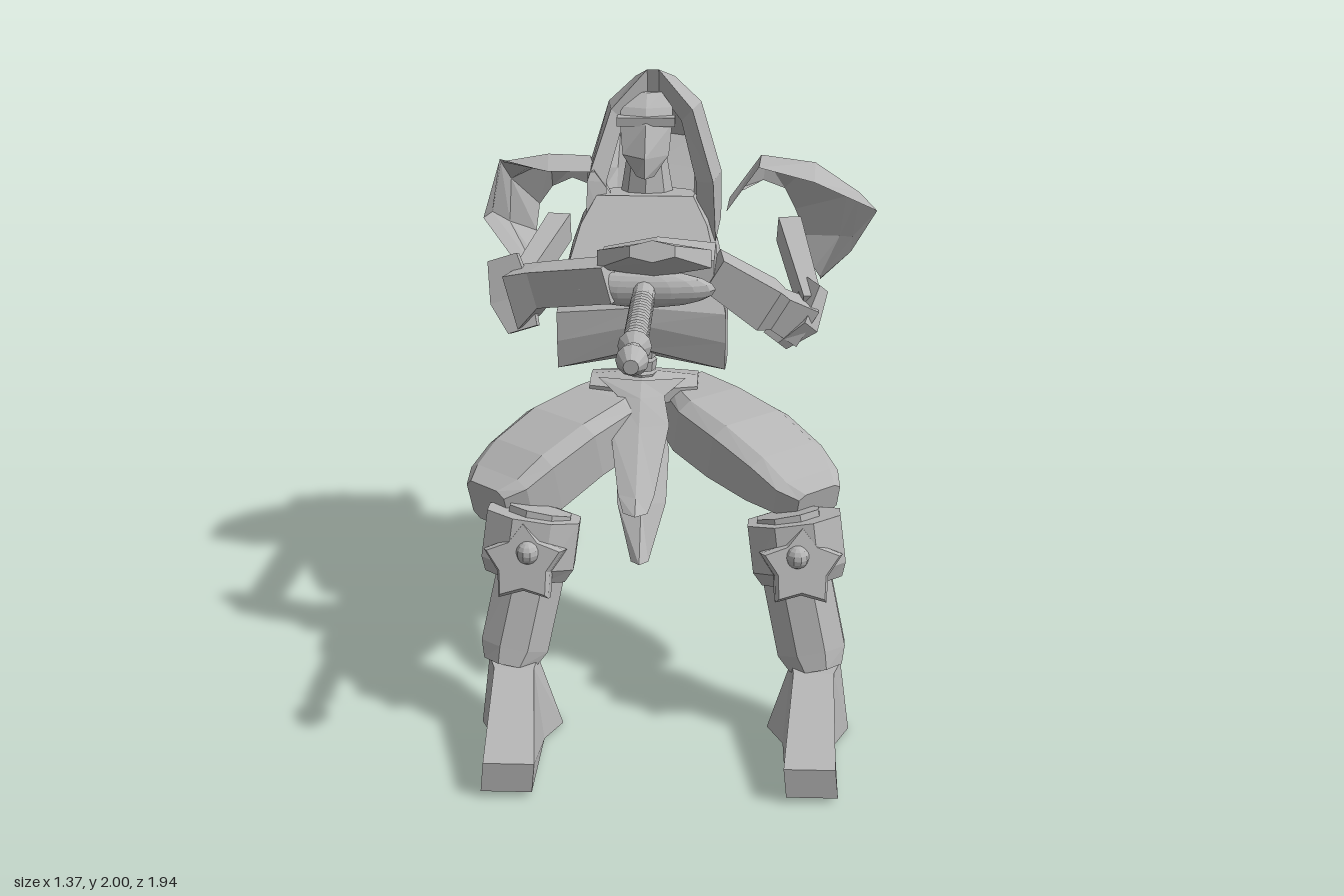
import * as THREE from 'three';

const grey = new THREE.MeshStandardMaterial({ color: 0xb6b6b6, flatShading: true, side: THREE.DoubleSide });
grey.name = 'plain grey';

function addMesh(parent, name, geometry) {
  const m = new THREE.Mesh(geometry, grey);
  m.name = name;
  parent.add(m);
  return m;
}

// Skin a list of cross-sections; closed sections wrap round, caps fan from the centre.
function loft(rings, { closed = true, capStart = true, capEnd = true } = {}) {
  const pos = [], n = rings[0].length, last = closed ? n : n - 1;
  const tri = (a, b, c) => pos.push(...a, ...b, ...c);
  for (let i = 0; i < rings.length - 1; i++) {
    for (let j = 0; j < last; j++) {
      const k = (j + 1) % n, A = rings[i], B = rings[i + 1];
      tri(A[j], A[k], B[k]);
      tri(A[j], B[k], B[j]);
    }
  }
  const cap = (r, flip) => {
    const c = [0, 1, 2].map(a => r.reduce((s, p) => s + p[a], 0) / n);
    for (let j = 0; j < n; j++) {
      const k = (j + 1) % n;
      flip ? tri(r[k], r[j], c) : tri(r[j], r[k], c);
    }
  };
  if (capStart) cap(rings[0], true);
  if (capEnd) cap(rings[rings.length - 1], false);
  const g = new THREE.BufferGeometry();
  g.setAttribute('position', new THREE.Float32BufferAttribute(pos, 3));
  g.computeVertexNormals();
  return g;
}
const sheet = { closed: false, capStart: false, capEnd: false };

// Limb through points [x, y, z, halfWidth, halfHeight]; power below 1 makes sections boxier.
function limb(points, sides = 4, power = 1) {
  const v = points.map(p => new THREE.Vector3(p[0], p[1], p[2]));
  const dir = v[v.length - 1].clone().sub(v[0]).normalize();
  const up0 = Math.abs(dir.y) > 0.8 ? new THREE.Vector3(0, 0, 1) : new THREE.Vector3(0, 1, 0);
  const u = new THREE.Vector3().crossVectors(up0, dir).normalize();
  const w = new THREE.Vector3().crossVectors(dir, u);
  const round = t => Math.sign(t) * (Math.abs(t) / Math.cos(Math.PI / sides)) ** power;
  return loft(points.map((p, i) => Array.from({ length: sides }, (_, j) => {
    const a = (j + 0.5) / sides * Math.PI * 2;
    return v[i].clone().addScaledVector(u, round(Math.cos(a)) * p[3])
      .addScaledVector(w, round(Math.sin(a)) * p[4]).toArray();
  })));
}

function buildTorso(g) {
  const outline = [[-0.98, 1], [0, 1], [0.98, 1], [1, 0.2], [0.9, -0.6], [0.5, -1], [-0.5, -1], [-0.9, -0.6], [-1, 0.2]];
  // front y, front z, back y, back z, half width, centre arch
  const rows = [
    [1.07, -0.08, 1.03, -0.46, 0.29, 0.07], [1.17, -0.065, 1.08, -0.56, 0.29, 0.06],
    [1.27, -0.07, 1.31, -0.75, 0.29, 0.02], [1.41, -0.17, 1.45, -0.74, 0.255, 0],
    [1.52, -0.28, 1.52, -0.66, 0.22, 0], [1.6, -0.36, 1.58, -0.56, 0.17, 0]];
  addMesh(g, 'breastplate', loft(rows.map(([yf, zf, yb, zb, hw, arch]) => outline.map(([x, t], i) => {
    const f = (t + 1) / 2;
    return [-0.12 + x * hw, yb + (yf - yb) * f + (i === 1 ? arch : 0), zb + (zf - zb) * f];
  }))));
  for (let i = 0; i < 4; i++) {
    const s = addMesh(g, 'waistSegment', new THREE.CylinderGeometry(0.05, 0.045, 0.035, 8));
    s.position.set(-0.12, 0.97 + i * 0.045, -0.16);
  }
  addMesh(g, 'hips', limb([[-0.3, 0.985, -0.18, 0.08, 0.025], [-0.12, 0.97, -0.16, 0.12, 0.06], [0.07, 0.985, -0.18, 0.08, 0.025]], 6));
}

function buildHood(g) {
  const arch = half => {
    const ring = [...half.map(([x, y, z]) => [-x, y, z]), ...half.slice().reverse()];
    return ring.map(([x, y, z]) => [x - 0.1, y, z]);
  };
  const front = arch([[0.225, 1.45, -0.33], [0.215, 1.66, -0.32], [0.14, 1.88, -0.455], [0.02, 2, -0.55]]);
  const mid = arch([[0.24, 1.46, -0.62], [0.24, 1.62, -0.65], [0.165, 1.86, -0.7], [0.07, 1.945, -0.72]]);
  const back = arch([[0.14, 1.46, -0.67], [0.14, 1.6, -0.77], [0.135, 1.7, -0.84], [0.06, 1.71, -0.84]]);
  const inner = arch([[0.16, 1.46, -0.4], [0.155, 1.64, -0.4], [0.1, 1.83, -0.51], [0.02, 1.92, -0.57]]);
  addMesh(g, 'hood', loft([inner, front, mid, back], { closed: false, capStart: false }));
  // Face mask with a brow and a pointed chin
  const face = (hw, y, zs, zc) => [[-hw, y, zs], [0, y, zc], [hw, y, zs], [hw * 0.7, y, -0.62], [-hw * 0.7, y, -0.62]]
    .map(([x, yy, z]) => [x - 0.12, yy, z]);
  addMesh(g, 'faceMask', loft([face(0.03, 1.66, -0.39, -0.35), face(0.08, 1.73, -0.42, -0.35),
    face(0.09, 1.83, -0.46, -0.43), face(0.09, 1.88, -0.5, -0.47), face(0.05, 1.92, -0.56, -0.54)]));
  addMesh(g, 'brow', new THREE.BoxGeometry(0.2, 0.03, 0.05)).position.set(-0.12, 1.84, -0.46);
  addMesh(g, 'neck', new THREE.CylinderGeometry(0.07, 0.1, 0.18, 8)).position.set(-0.12, 1.62, -0.5);
}

function buildArms(g) {
  // Curved shoulder shells, open towards the body: front rim, swell, back rim
  addMesh(g, 'leftPauldron', loft([
    [[0.16, 1.52, -0.46], [0.27, 1.71, -0.33], [0.46, 1.66, -0.33], [0.68, 1.55, -0.38], [0.6, 1.38, -0.46], [0.5, 1.25, -0.56]],
    [[0.17, 1.56, -0.5], [0.28, 1.71, -0.52], [0.47, 1.68, -0.54], [0.63, 1.57, -0.55], [0.61, 1.4, -0.58], [0.5, 1.24, -0.58]],
    [[0.2, 1.58, -0.55], [0.3, 1.66, -0.66], [0.44, 1.62, -0.7], [0.59, 1.53, -0.65], [0.57, 1.38, -0.66], [0.5, 1.24, -0.61]],
    [[0.22, 1.57, -0.57], [0.29, 1.58, -0.68], [0.37, 1.53, -0.76], [0.41, 1.45, -0.77], [0.45, 1.36, -0.74], [0.48, 1.26, -0.65]],
  ], sheet));
  addMesh(g, 'rightPauldron', loft([
    [[-0.22, 1.55, -0.45], [-0.29, 1.69, -0.33], [-0.45, 1.69, -0.33], [-0.62, 1.72, -0.38], [-0.69, 1.5, -0.42], [-0.56, 1.25, -0.54]],
    [[-0.25, 1.58, -0.5], [-0.32, 1.7, -0.53], [-0.47, 1.7, -0.55], [-0.64, 1.67, -0.55], [-0.68, 1.48, -0.58], [-0.56, 1.25, -0.58]],
    [[-0.29, 1.6, -0.55], [-0.36, 1.66, -0.66], [-0.48, 1.64, -0.71], [-0.62, 1.58, -0.67], [-0.63, 1.42, -0.67], [-0.54, 1.26, -0.62]],
    [[-0.31, 1.58, -0.57], [-0.4, 1.58, -0.69], [-0.48, 1.53, -0.76], [-0.53, 1.46, -0.77], [-0.54, 1.37, -0.73], [-0.52, 1.27, -0.64]],
  ], sheet));
  addMesh(g, 'leftUpperArm', limb([[0.38, 1.45, -0.5, 0.04, 0.05], [0.45, 1.3, -0.06, 0.03, 0.05]]));
  addMesh(g, 'leftForearm', limb([[0.43, 1.25, -0.05, 0.07, 0.07], [0.34, 1.3, -0.04, 0.06, 0.06], [0.3, 1.32, -0.03, 0.08, 0.075], [0.12, 1.44, -0.02, 0.07, 0.06]]));
  addMesh(g, 'leftElbowGuard', limb([[0.47, 1.37, -0.1, 0.05, 0.02], [0.42, 1.26, -0.04, 0.07, 0.03], [0.33, 1.19, -0.04, 0.06, 0.02]]));
  addMesh(g, 'leftHand', limb([[0.13, 1.45, -0.03, 0.07, 0.07], [-0.06, 1.46, -0.02, 0.1, 0.08], [-0.24, 1.45, -0.05, 0.06, 0.05]], 6));
  addMesh(g, 'rightUpperArm', limb([[-0.43, 1.45, -0.5, 0.04, 0.05], [-0.52, 1.38, 0.08, 0.03, 0.05]]));
  addMesh(g, 'rightForearm', limb([[-0.5, 1.38, 0.1, 0.08, 0.09], [-0.43, 1.43, 0.13, 0.07, 0.06], [-0.18, 1.48, 0.22, 0.08, 0.06]]));
  addMesh(g, 'rightElbowGuard', limb([[-0.56, 1.5, 0.06, 0.05, 0.02], [-0.53, 1.37, 0.09, 0.07, 0.03], [-0.49, 1.28, 0.14, 0.05, 0.02]]));
  addMesh(g, 'rightHand', limb([[-0.07, 1.5, 0.12, 0.13, 0.03], [-0.06, 1.55, 0.23, 0.18, 0.05], [-0.06, 1.61, 0.35, 0.07, 0.03]], 6));
}

function buildSword(g) {
  const sword = new THREE.Group();
  sword.name = 'sword';
  sword.position.set(-0.09, 1.455, 0);
  g.add(sword);
  // Flat blade tapering to a point behind the back
  addMesh(sword, 'blade', limb([[0, 0, 0.2, 0.08, 0.01], [0, 0, -0.83, 0.08, 0.01], [0, 0, -0.97, 0.002, 0.002]]));
  const guard = addMesh(sword, 'crossguard', new THREE.SphereGeometry(1, 16, 10));
  guard.scale.set(0.225, 0.06, 0.05);
  guard.position.z = 0.24;
  // Turned grip with ribs and a pommel
  const profile = [[0, 0.17], [0.036, 0.18], [0.036, 0.36]];
  for (let i = 0; i < 8; i++) {
    const z = 0.37 + i * 0.05;
    profile.push([0.03, z], [0.038, z + 0.01], [0.038, z + 0.038], [0.03, z + 0.046]);
  }
  profile.push([0.022, 0.77], [0.05, 0.79], [0.022, 0.825], [0.03, 0.84], [0.048, 0.91], [0.022, 0.97], [0, 0.97]);
  const hilt = addMesh(sword, 'hilt', new THREE.LatheGeometry(profile.map(p => new THREE.Vector2(...p)), 12));
  hilt.rotation.x = Math.PI / 2;
}

function buildLeg(g, s) {
  const leg = new THREE.Group();
  leg.name = s > 0 ? 'leftLeg' : 'rightLeg';
  g.add(leg);
  const at = (cx, list) => list.map(([x, ...r]) => [cx + s * x, ...r]);
  const deep = s > 0 ? 0 : 0.025; // the right thigh hangs a little deeper at the knee
  addMesh(leg, 'thigh', limb(at(-0.065, [[0.08, 0.89, -0.24, 0.1, 0.105], [0.18, 0.88, -0.08, 0.15, 0.11],
    [0.31, 0.845, 0.05, 0.165, 0.11], [0.43, 0.8 - deep, 0.17, 0.155, 0.09 + deep],
    [0.5, 0.77 - deep, 0.25, 0.135, 0.06 + deep], [0.54, 0.75 - deep, 0.3, 0.09, 0.05 + deep]]), 8, 0.4));
  addMesh(leg, 'shin', limb(at(-0.025, [[0.5, 0.25, 0.48, 0.085, 0.07], [0.485, 0.3, 0.455, 0.11, 0.08],
    [0.43, 0.55, 0.385, 0.11, 0.085], [0.4, 0.74, 0.36, 0.1, 0.07]]), 8));
  addMesh(leg, 'kneeCuff', limb(at(-0.025, [[0.45, 0.53, 0.4, 0.13, 0.09], [0.44, 0.58, 0.4, 0.15, 0.11], [0.42, 0.73, 0.37, 0.15, 0.1]]), 8));
  // Star-shaped knee plate with a round stud
  const star = new THREE.Shape();
  for (let i = 0; i < 10; i++) {
    const r = i % 2 ? 0.08 : 0.125, a = i / 10 * Math.PI * 2 + Math.PI / 2;
    i ? star.lineTo(Math.cos(a) * r, Math.sin(a) * r) : star.moveTo(0, r);
  }
  star.closePath();
  const plate = addMesh(leg, 'kneePlate', new THREE.ExtrudeGeometry(star, { depth: 0.04, bevelSize: 0.01, bevelThickness: 0.02, bevelSegments: 1 }));
  plate.position.set(-0.025 + s * 0.44, 0.6, 0.46);
  plate.rotation.set(-0.35, s * 0.1, 0);
  addMesh(leg, 'kneeStud', new THREE.SphereGeometry(0.038, 10, 8)).position.set(-0.025 + s * 0.43, 0.65, 0.5);
  // Boot: flared heel, narrow ankle, slim wedge toe
  const cx = -0.02 + s * 0.475;
  const quad = (bw, by, bz, tw, ty, tz, lean) => [[cx - bw, by, bz], [cx + bw, by, bz],
    [cx + tw + s * lean, ty, tz], [cx - tw + s * lean, ty, tz]];
  addMesh(leg, 'boot', loft([quad(0.09, 0, 0.385, 0.055, 0.26, 0.41, 0.02), quad(0.135, 0, 0.45, 0.08, 0.26, 0.47, 0.02),
    quad(0.085, 0.01, 0.57, 0.065, 0.26, 0.55, 0.01), quad(0.08, 0.02, 0.9, 0.08, 0.12, 0.9, -0.01)]));
}

function buildCloth(g) {
  // Pointed hanging flaps: rows of half width, y, z
  const flap = (name, rows) => addMesh(g, name, loft(rows.map(([hw, y, z]) =>
    [[-0.12 - hw, y, z], [-0.12, y, z + 0.03], [-0.12 + hw, y, z]]), sheet));
  flap('frontFlap', [[0.15, 1.03, -0.1], [0.08, 0.99, -0.03], [0.1, 0.92, 0.06], [0.06, 0.76, 0.28], [0.04, 0.72, 0.34]]);
  flap('backFlap', [[0.04, 0.92, -0.3], [0.09, 0.74, -0.16], [0.085, 0.6, -0.02], [0.03, 0.44, 0.12]]);
}

export function createModel() {
  const g = new THREE.Group();
  g.name = 'hoodedSwordsman';
  buildTorso(g);
  buildHood(g);
  buildArms(g);
  buildSword(g);
  buildLeg(g, 1);
  buildLeg(g, -1);
  buildCloth(g);
  return g;
}
